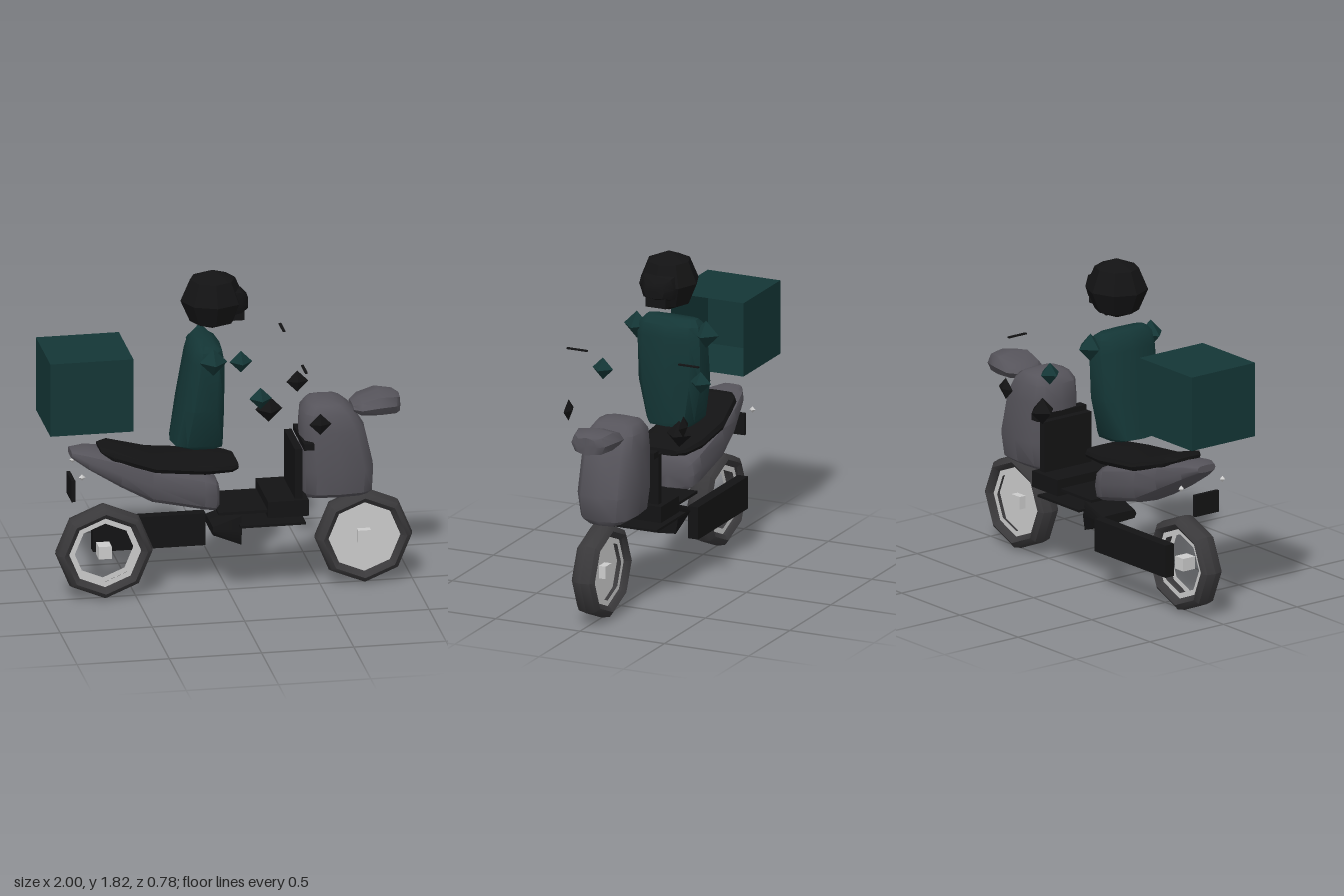
import * as THREE from 'three';
import { toCreasedNormals } from 'three/addons/utils/BufferGeometryUtils.js';

const mat = (color) => new THREE.MeshStandardMaterial({ color, side: THREE.DoubleSide });
const paint = mat(0x56545b), black = mat(0x131314), teal = mat(0x143636), rubber = mat(0x3a393b), metal = mat(0xcccccc);

// Skin over rounded sections [position, low, high, halfWidth] along 'x' or 'y'
function loft(axis, sections, sides = 12, power = 0.6) {
  const pos = [], index = [];
  const soft = (v) => Math.sign(v) * Math.pow(Math.abs(v), power);
  const put = (p, q, z) => (axis === 'y' ? pos.push(q, p, z) : pos.push(p, q, z));
  const tri = (a, b, c) => (axis === 'y' ? index.push(a, c, b) : index.push(a, b, c));
  for (const [p, lo, hi, w] of sections) {
    for (let j = 0; j < sides; j++) {
      const t = (j / sides) * Math.PI * 2;
      put(p, (lo + hi) / 2 + soft(Math.cos(t)) * (hi - lo) / 2, soft(Math.sin(t)) * w);
    }
  }
  for (let i = 0; i < sections.length - 1; i++) {
    for (let j = 0; j < sides; j++) {
      const k = (j + 1) % sides, a = i * sides + j, b = i * sides + k;
      tri(a, b, b + sides);
      tri(a, b + sides, a + sides);
    }
  }
  // end caps
  const first = sections[0], last = sections[sections.length - 1];
  const c0 = pos.length / 3, top = (sections.length - 1) * sides;
  put(first[0], (first[1] + first[2]) / 2, 0);
  put(last[0], (last[1] + last[2]) / 2, 0);
  for (let j = 0; j < sides; j++) {
    const k = (j + 1) % sides;
    tri(c0, k, j);
    tri(c0 + 1, top + j, top + k);
  }
  const g = new THREE.BufferGeometry();
  g.setAttribute('position', new THREE.Float32BufferAttribute(pos, 3));
  g.setIndex(index);
  return toCreasedNormals(g, 0.8);
}

export function createModel() {
  const model = new THREE.Group();
  model.name = 'scooterWithRider';

  function add(name, geometry, material, x = 0, y = 0, z = 0, parent = model) {
    const m = new THREE.Mesh(geometry, material);
    m.name = name;
    m.position.set(x, y, z);
    parent.add(m);
    return m;
  }
  // Box given by its extents on each axis
  function box(name, material, [x0, x1], [y0, y1], [z0, z1]) {
    return add(name, new THREE.BoxGeometry(x1 - x0, y1 - y0, z1 - z0), material,
      (x0 + x1) / 2, (y0 + y1) / 2, (z0 + z1) / 2);
  }
  const gem = (name, material, r, x, y, z) => add(name, new THREE.OctahedronGeometry(r), material, x, y, z);

  // Wheels: tyre, rim and hub
  function wheel(name, x, y, disc) {
    const w = new THREE.Group();
    w.name = name;
    w.position.set(x, y, 0);
    model.add(w);
    const tyre = new THREE.TorusGeometry(0.226, 0.039, 8, 8);
    tyre.scale(1, 1, 1.75);
    add('tyre', toCreasedNormals(tyre, 0.8), rubber, 0, 0, 0, w);
    add('rimBand', new THREE.CylinderGeometry(0.195, 0.195, 0.07, 8, 1, true).rotateX(Math.PI / 2), metal, 0, 0, 0, w);
    for (const s of [-1, 1]) add('rimRing', new THREE.RingGeometry(0.165, 0.2, 8), metal, 0, 0, s * 0.035, w);
    if (disc) add('rimDisc', new THREE.CircleGeometry(0.2, 8), metal, 0, 0, 0, w);
    add('hub', new THREE.BoxGeometry(0.07, 0.07, 0.08), metal, 0, 0, 0, w);
  }
  wheel('frontWheel', 0.735, 0.265, true);
  wheel('rearWheel', -0.67, 0.265, false);

  // Painted bodywork
  add('frontFairing', loft('y', [
    [0.52, 0.4, 0.755, 0.1], [0.55, 0.39, 0.78, 0.145], [0.68, 0.39, 0.785, 0.165], [0.9, 0.385, 0.735, 0.157],
    [1.0, 0.395, 0.675, 0.145], [1.045, 0.43, 0.62, 0.115], [1.06, 0.47, 0.57, 0.07]]), paint);
  add('headlight', loft('x', [
    [0.67, 0.985, 1.02, 0.08], [0.71, 0.962, 1.05, 0.12], [0.81, 0.957, 1.083, 0.13],
    [0.9, 0.955, 1.073, 0.1], [0.925, 0.96, 1.06, 0.06]], 8, 0.75), paint);
  add('rearBody', loft('x', [
    [-0.855, 0.815, 0.855, 0.06], [-0.77, 0.755, 0.858, 0.11], [-0.6, 0.65, 0.83, 0.15], [-0.43, 0.555, 0.78, 0.162],
    [-0.15, 0.495, 0.71, 0.165], [-0.085, 0.482, 0.68, 0.15], [-0.065, 0.5, 0.64, 0.12]]), paint);

  // Seat
  add('seat', loft('x', [
    [-0.7, 0.845, 0.862, 0.08], [-0.64, 0.8, 0.868, 0.13], [-0.42, 0.735, 0.8, 0.168],
    [-0.15, 0.71, 0.772, 0.175], [0.0, 0.71, 0.757, 0.15], [0.04, 0.715, 0.75, 0.11]], 12, 0.5), black);

  // Frame, floor and engine
  box('legShield', black, [0.335, 0.375], [0.54, 0.83], [-0.16, 0.16]);
  box('dashKnob', black, [0.385, 0.44], [0.82, 0.855], [-0.165, 0.165]);
  box('footboard', black, [0.185, 0.405], [0.46, 0.55], [-0.19, 0.19]);
  box('floorPlate', black, [-0.08, 0.2], [0.485, 0.5], [-0.17, 0.17]);
  box('underPlate', black, [0.04, 0.395], [0.4, 0.413], [-0.16, 0.16]);
  box('swingArm', black, [-0.71, -0.1], [0.22, 0.4], [-0.165, -0.105]);
  add('engineWedge', loft('x', [[-0.1, 0.35, 0.4, 0.12], [0.055, 0.28, 0.46, 0.12]], 8, 0.3), black);

  // Rear plate and signals
  box('numberPlate', black, [-0.86, -0.84], [0.58, 0.7], [-0.08, 0.08]);

  // Delivery box, open towards the rider
  const crate = new THREE.BoxGeometry(0.45, 0.41, 0.43);
  crate.setIndex([...crate.index.array].slice(6));
  add('deliveryBox', crate, teal, -0.775, 1.215, 0);

  // Rider
  add('torso', loft('y', [
    [0.85, -0.26, -0.035, 0.13], [0.87, -0.315, -0.03, 0.145], [1.08, -0.275, -0.03, 0.188],
    [1.34, -0.225, -0.03, 0.19], [1.41, -0.205, -0.045, 0.178], [1.44, -0.17, -0.09, 0.15]], 10), teal);
  const helmet = new THREE.SphereGeometry(0.165, 8, 4).scale(1.05, 1, 1);
  add('helmet', toCreasedNormals(helmet, 0.5), black, -0.083, 1.655, 0);
  add('visor', loft('x', [[-0.02, 1.57, 1.74, 0.12], [0.06, 1.58, 1.72, 0.1], [0.1, 1.6, 1.68, 0.06]], 8), black);
  box('chinGuard', black, [0.02, 0.08], [1.545, 1.6], [-0.06, 0.06]);
  gem('knee', black, 0.074, 0.265, 0.925, -0.23);

  // Paired small parts
  for (const s of [-1, 1]) {
    gem('shoulder', teal, 0.076, -0.115, 1.37, s * 0.205);
    gem('elbow', teal, 0.061, 0.125, 1.18, s * 0.29);
    gem('mirror', black, 0.06, 0.44, 1.03, s * 0.34).scale.z = 0.4;
    box('handGrip', black, [0.348, 0.362], [1.341, 1.349], [s * 0.33 - 0.06, s * 0.33 + 0.06]);
    gem('turnSignal', metal, 0.018, -0.815, 0.74, s * 0.14);
  }
  return model;
}
